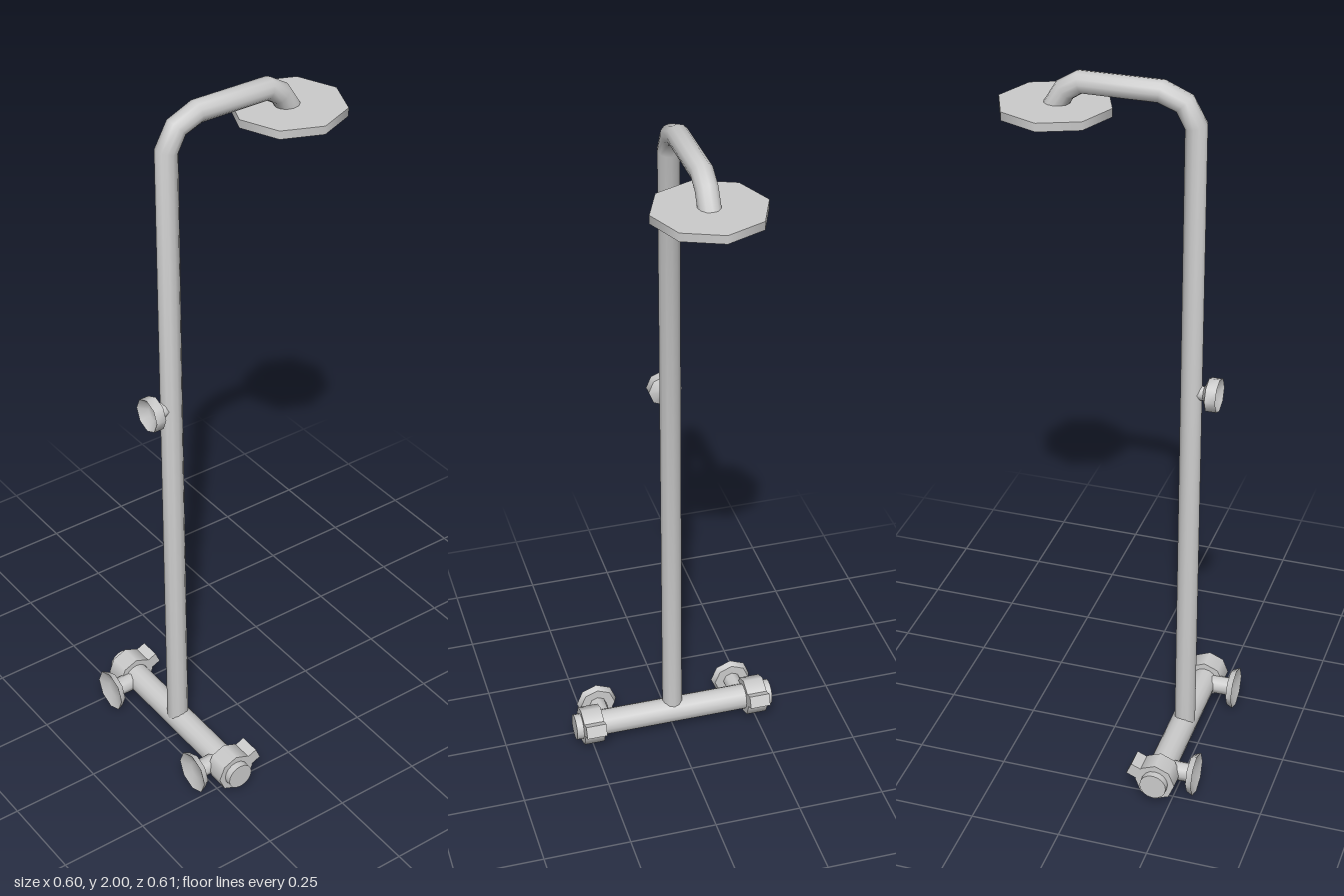
import * as THREE from 'three';
import { toCreasedNormals } from 'three/addons/utils/BufferGeometryUtils.js';

const material = new THREE.MeshStandardMaterial({ color: 0xcccccc, side: THREE.DoubleSide });
const BAR_Y = 0.062, BAR_Z = 0.205;

function add(parent, name, geometry, x = 0, y = 0, z = 0) {
  const mesh = new THREE.Mesh(geometry, material);
  mesh.name = name;
  mesh.position.set(x, y, z);
  parent.add(mesh);
  return mesh;
}

// Straight segments between points, with mitred tangents at the corners
class BentPath extends THREE.Curve {
  constructor(points) { super(); this.points = points; }
  getPoint(t, target = new THREE.Vector3()) {
    const n = this.points.length - 1;
    const i = Math.min(Math.floor(t * n + 1e-6), n - 1);
    return target.lerpVectors(this.points[i], this.points[i + 1], t * n - i);
  }
  getPointAt(t, target) { return this.getPoint(t, target); }
  getTangentAt(t, target = new THREE.Vector3()) {
    const p = this.points, n = p.length - 1, i = Math.round(t * n);
    const direction = (a, b) => p[b].clone().sub(p[a]).normalize();
    const before = direction(Math.max(i - 1, 0), Math.max(i, 1));
    const after = direction(Math.min(i, n - 1), Math.min(i + 1, n));
    return target.copy(before).add(after).normalize();
  }
}

// Eight-sided turned part whose axis points forward; profile is [radius, z]
function turnedForward(profile) {
  const g = new THREE.LatheGeometry(profile.map(([r, z]) => new THREE.Vector2(r, z)), 8);
  g.rotateX(Math.PI / 2);
  return toCreasedNormals(g, 0.9);
}

export function createModel() {
  const model = new THREE.Group();
  model.name = 'showerColumn';

  // Riser pipe with the overhead arm
  const path = [[0.06, 0.21], [1.89, 0.21], [1.945, 0.18], [1.97, 0.12],
    [1.97, -0.09], [1.945, -0.13], [1.895, -0.16]]
    .map(([y, z]) => new THREE.Vector3(0, y, z));
  add(model, 'riserPipe', new THREE.TubeGeometry(new BentPath(path), path.length - 1, 0.03, 12));

  // Shower head
  add(model, 'showerHead', new THREE.CylinderGeometry(0.15, 0.15, 0.023, 8), 0, 1.898, -0.156);

  // Cup-shaped holder for the hand shower
  add(model, 'handShowerHolder', turnedForward([
    [0.02, 0.22], [0.02, 0.246], [0.047, 0.258], [0.047, 0.287],
    [0.022, 0.266], [0, 0.266],
  ]), 0, 1.147, 0);

  // Mixer bar
  const bar = new THREE.CylinderGeometry(0.0375, 0.0375, 0.6, 16);
  bar.rotateZ(Math.PI / 2);
  add(model, 'mixerBar', bar, 0, BAR_Y, BAR_Z);

  for (const side of [-1, 1]) {
    // Tap handle with its lever pointing back and up
    const handle = new THREE.Group();
    handle.name = side > 0 ? 'leftHandle' : 'rightHandle';
    handle.position.set(side * 0.25, BAR_Y, BAR_Z);
    const knob = new THREE.CylinderGeometry(0.056, 0.056, 0.06, 8);
    knob.rotateZ(Math.PI / 2);
    add(handle, 'knob', knob);
    const lever = new THREE.BoxGeometry(0.06, 0.036, 0.06);
    lever.translate(0, 0, -0.051);
    add(handle, 'lever', lever).rotation.x = 0.4;
    model.add(handle);

    // Wall connector with a hollow flange
    add(model, side > 0 ? 'leftWallMount' : 'rightWallMount', turnedForward([
      [0.026, 0.21], [0.026, 0.287], [0.052, 0.287], [0.06, 0.305],
      [0.026, 0.291], [0, 0.291],
    ]), side * 0.209, BAR_Y, 0);
  }
  return model;
}
